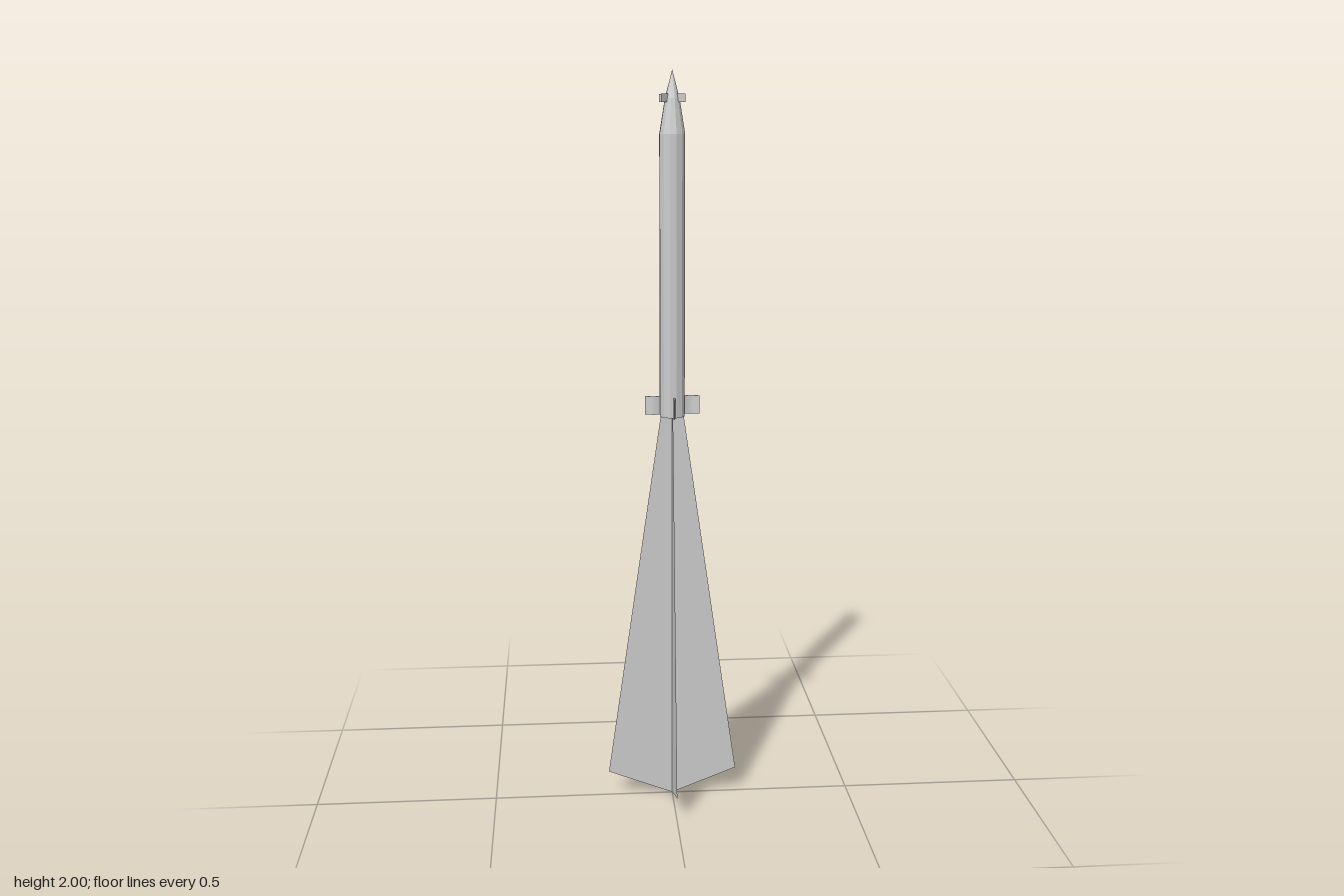
import * as THREE from 'three';

const SIDES = 12;
const solid = new THREE.MeshStandardMaterial({ color: 0xcccccc, flatShading: true });
const thin = new THREE.MeshStandardMaterial({ color: 0xcccccc, side: THREE.DoubleSide });

function add(parent, name, geometry, material, turn = 0) {
  const mesh = new THREE.Mesh(geometry, material);
  mesh.name = name;
  mesh.rotation.y = turn;
  parent.add(mesh);
  return mesh;
}

// Flat outline in the x-y plane
function sheet(points) {
  return new THREE.ShapeGeometry(new THREE.Shape(points.map(p => new THREE.Vector2(...p))));
}

// Curved tail fin: a bowed strip with slight thickness, extruded upward
function finGeometry(y0, y1) {
  const centre = new THREE.SplineCurve([
    [0.031, 0.001], [0.041, 0.004], [0.052, 0.005], [0.063, 0.002], [0.073, -0.001],
  ].map(p => new THREE.Vector2(...p))).getPoints(10);
  const half = 0.001;
  const upper = centre.map(p => new THREE.Vector2(p.x, p.y + half));
  const lower = centre.map(p => new THREE.Vector2(p.x, p.y - half)).reverse();
  const geometry = new THREE.ExtrudeGeometry(new THREE.Shape([...upper, ...lower]), {
    depth: y1 - y0, bevelEnabled: false,
  });
  geometry.rotateX(-Math.PI / 2);
  geometry.translate(0, y0, 0);
  return geometry;
}

export function createModel() {
  const rocket = new THREE.Group();
  rocket.name = 'rocket';

  // Faceted body with a two-step pointed nose
  const profile = [[0, 1.1], [0.034, 1.1], [0.034, 1.84], [0.019, 1.93], [0, 2]]
    .map(p => new THREE.Vector2(...p));
  add(rocket, 'body', new THREE.LatheGeometry(profile, SIDES), solid, Math.PI / SIDES);

  // Four curved tail fins
  const fin = finGeometry(1.105, 1.155);
  for (let i = 0; i < 4; i++) add(rocket, 'tailFin', fin, solid, i * Math.PI / 2);

  // Four small flat nose fins, set diagonally
  const noseFin = sheet([[0.01, 1.92], [0.044, 1.92], [0.044, 1.94], [0.01, 1.94]]);
  for (let i = 0; i < 4; i++) add(rocket, 'noseFin', noseFin, thin, Math.PI / 4 + i * Math.PI / 2);

  // Exhaust plume: two crossed flat sheets
  const plume = sheet([[0, 0], [0.18, 0.07], [0.031, 1.1], [-0.031, 1.1], [-0.18, 0.07]]);
  for (let i = 0; i < 2; i++) add(rocket, 'exhaustPlume', plume, thin, i * Math.PI / 2);

  return rocket;
}
